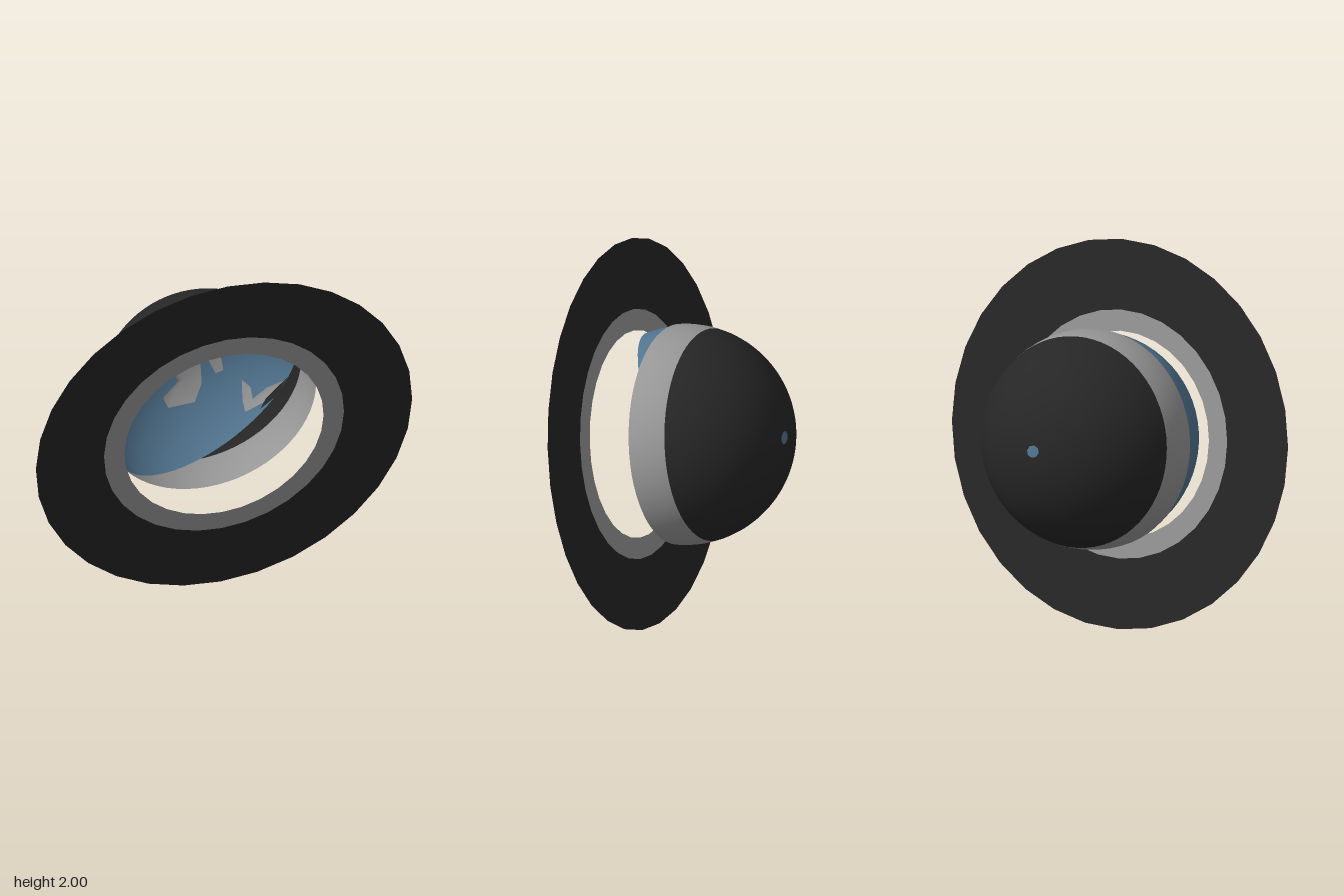
import * as THREE from 'three';

const make = (name, color) => {
  const m = new THREE.MeshStandardMaterial({ color, side: THREE.DoubleSide });
  m.name = name;
  return m;
};

export function createModel() {
  const black = make('charcoal', 0x262626);
  const grey = make('grey', 0x969696);
  const blue = make('ocean blue', 0x527590);

  const UP = new THREE.Vector3(0, 1, 0);
  const ringAxis = new THREE.Vector3(0.42, -0.24, 0.875).normalize();
  const bowlAxis = new THREE.Vector3(0.66, -0.44, 0.61).normalize();

  const model = new THREE.Group();
  model.name = 'ringedPlanet';
  const add = (parent, name, geometry, material) => {
    const mesh = new THREE.Mesh(geometry, material);
    mesh.name = name;
    parent.add(mesh);
    return mesh;
  };

  // Flat ring in two bands
  const ring = new THREE.Group();
  ring.name = 'ring';
  ring.position.set(0, 1, 0.16);
  ring.quaternion.setFromUnitVectors(new THREE.Vector3(0, 0, 1), ringAxis);
  add(ring, 'ringInnerBand', new THREE.RingGeometry(0.545, 0.657, 32), grey);
  add(ring, 'ringOuterBand', new THREE.RingGeometry(0.657, 1.03, 32), black);
  model.add(ring);

  const planet = new THREE.Group();
  planet.name = 'planet';
  planet.position.set(-0.12, 1.07, -0.09);
  model.add(planet);

  // Open sphere zone between two heights along an axis
  const zone = (name, radius, axis, low, high, material) => {
    const start = Math.acos(high / radius);
    const end = Math.acos(low / radius);
    const g = new THREE.SphereGeometry(radius, 64, 32, 0, Math.PI * 2, start, end - start);
    add(planet, name, g, material).quaternion.setFromUnitVectors(UP, axis);
  };
  zone('shellCap', 0.58, ringAxis, -0.58, -0.16, black);
  zone('shellBand', 0.58, ringAxis, -0.16, 0.04, grey);
  zone('oceanBowl', 0.57, bowlAxis, -0.57, 0, blue);

  // Thin patch on a sphere: outline in x, y is carried onto the rear wall
  const patch = (name, outline, material, radius = 0.564) => {
    const n = outline.length, steps = 5, pos = [], index = [];
    const cx = outline.reduce((s, p) => s + p[0], 0) / n;
    const cy = outline.reduce((s, p) => s + p[1], 0) / n;
    for (let i = 0; i <= steps; i++) {
      for (const [px, py] of outline) {
        const x = cx + (px - cx) * i / steps, y = cy + (py - cy) * i / steps;
        pos.push(x, y, -Math.sqrt(Math.max(0, radius * radius - x * x - y * y)));
      }
    }
    for (let i = 0; i < steps; i++) {
      for (let j = 0; j < n; j++) {
        const a = i * n + j, b = i * n + (j + 1) % n;
        if (i > 0) index.push(a, a + n, b);
        index.push(b, a + n, b + n);
      }
    }
    const g = new THREE.BufferGeometry();
    g.setAttribute('position', new THREE.Float32BufferAttribute(pos, 3));
    g.setIndex(index);
    g.computeVertexNormals();
    add(planet, name, g, material);
  };

  // Land masses inside the bowl
  const lands = [
    [[-0.35, 0.11], [-0.36, 0.17], [-0.31, 0.20], [-0.28, 0.13], [-0.22, 0.11], [-0.23, 0.06], [-0.32, 0.05]],
    [[-0.30, -0.01], [-0.20, -0.05], [-0.12, -0.08], [-0.11, -0.18], [-0.14, -0.27], [-0.27, -0.28], [-0.30, -0.23], [-0.23, -0.16]],
    [[-0.07, 0.02], [-0.02, -0.01], [0, -0.11], [-0.04, -0.13], [-0.08, -0.06]],
    [[0.22, 0.36], [0.28, 0.39], [0.32, 0.31], [0.32, 0.23], [0.24, 0.27]],
    [[0.32, 0.22], [0.36, 0.20], [0.36, 0.12], [0.335, 0.13]],
    [[0.10, -0.15], [0.15, -0.18], [0.17, -0.25], [0.13, -0.30], [0.11, -0.25]],
    [[0.17, -0.23], [0.24, -0.16], [0.35, -0.08], [0.30, -0.15], [0.22, -0.24], [0.13, -0.30]],
    [[-0.53, -0.13], [-0.50, -0.12], [-0.49, -0.17], [-0.52, -0.18]],
  ];
  lands.forEach((outline, i) => patch('land' + (i + 1), outline, grey));

  // Dark spots inside the bowl
  patch('darkSpot', [[-0.115, 0.05], [-0.07, 0.04], [-0.06, -0.01], [-0.09, -0.03]], black, 0.561);
  patch('darkRimStreak', [[0.21, -0.27], [0.30, -0.18], [0.36, -0.06], [0.29, -0.15], [0.24, -0.21]], black, 0.561);

  // Small blue spot on the back of the shell
  const spot = [];
  for (let i = 0; i < 8; i++) {
    const a = i * Math.PI / 4;
    spot.push([-0.24 + 0.033 * Math.cos(a), 0.13 + 0.033 * Math.sin(a)]);
  }
  patch('backSpot', spot, blue, 0.583);

  return model;
}
